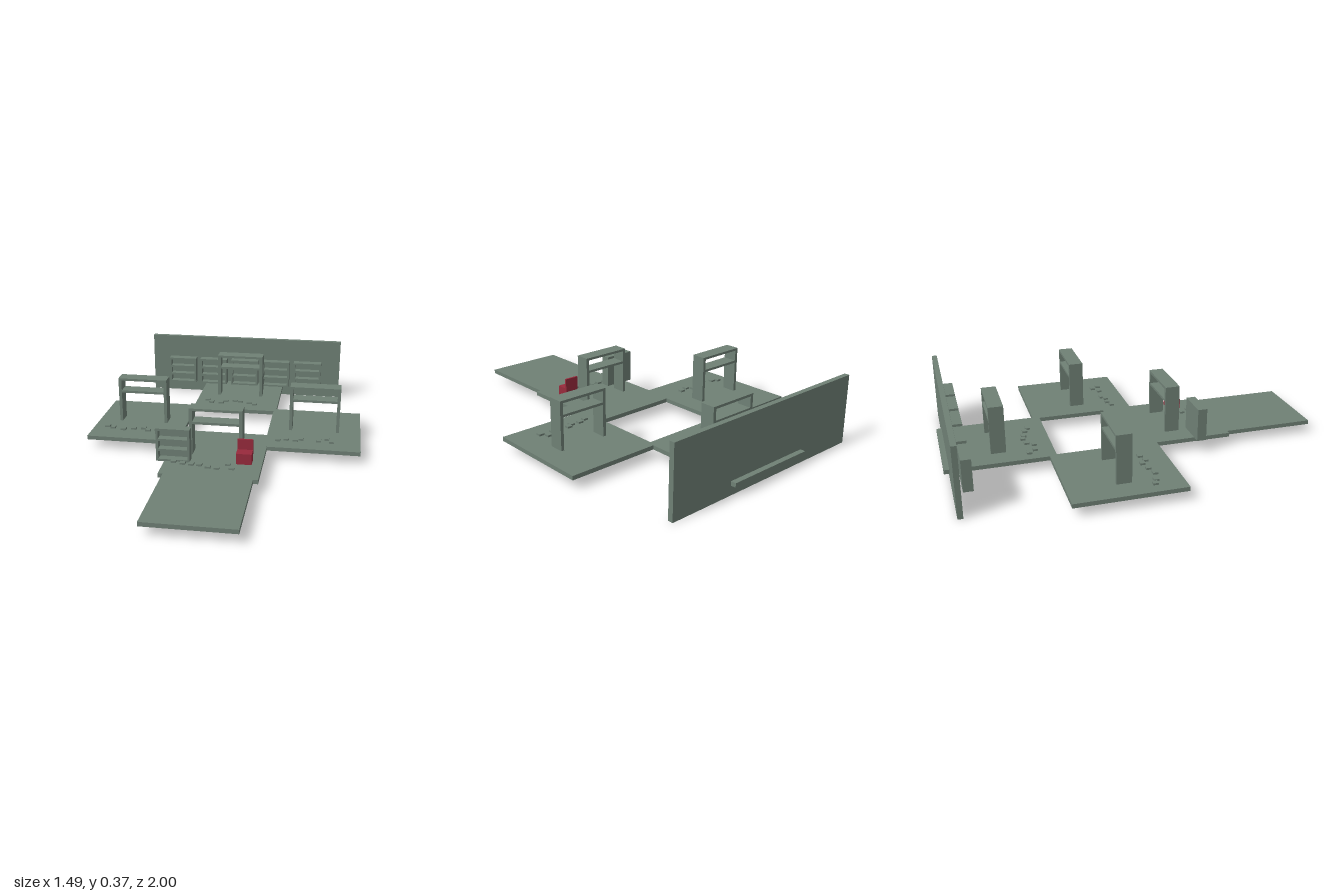
import * as THREE from 'three';

export function createModel() {
  const root = new THREE.Group();
  const sage = new THREE.MeshStandardMaterial({ color: 0x6f8075 });
  sage.name = 'sageGreen';
  const red = new THREE.MeshStandardMaterial({ color: 0x982a3c });
  red.name = 'chairRed';

  // Box given by its lower and upper limits on each axis
  function box(parent, name, [x0, x1], [y0, y1], [z0, z1], material = sage) {
    const mesh = new THREE.Mesh(new THREE.BoxGeometry(x1 - x0, y1 - y0, z1 - z0), material);
    mesh.position.set((x0 + x1) / 2, (y0 + y1) / 2, (z0 + z1) / 2);
    mesh.name = name;
    parent.add(mesh);
  }
  function group(name, x = 0, y = 0, z = 0) {
    const g = new THREE.Group();
    g.name = name;
    g.position.set(x, y, z);
    root.add(g);
    return g;
  }

  // Floor slabs around the open middle, and the entrance strip
  const floorY = [0.05, 0.072];
  const floors = group('floors');
  box(floors, 'backFloor', [-0.25, 0.25], floorY, [-1, -0.433]);
  box(floors, 'frontFloor', [-0.25, 0.25], floorY, [-0.062, 0.51]);
  box(floors, 'rightFloor', [-0.745, -0.235], floorY, [-0.47, 0.1]);
  box(floors, 'leftFloor', [0.235, 0.745], floorY, [-0.47, 0.1]);
  box(floors, 'entranceFloor', [-0.225, 0.225], floorY, [0.51, 1]);

  // Back wall
  box(root, 'backWall', [-0.61, 0.61], [0, 0.368], [-0.972, -0.945]);

  // Open-fronted bookcase with a solid back
  function bookcase(x, y, z, h) {
    const g = group('bookcase', x, y, z);
    const w = 0.0875, d = 0.025, t = 0.012;
    box(g, 'bookcaseBack', [-w, w], [0, h], [-d, -d + 0.008]);
    for (const s of [-1, 1]) {
      const xs = s < 0 ? [-w, -w + t] : [w - t, w];
      box(g, 'bookcaseSide', xs, [0, h], [-d, d]);
    }
    for (let i = 0; i < 4; i++) {
      const base = i * (h - t) / 3;
      box(g, 'bookcaseShelf', [-w + t, w - t], [base, base + t], [-d + 0.008, d]);
    }
  }
  for (let i = -2; i <= 2; i++) bookcase(i * 0.203, 0.07, -0.905, 0.166);
  bookcase(-0.205, 0.07, 0.335, 0.178);

  // Tall stands: two side panels joined by a double top
  function stand(x, z) {
    const g = group('stand', x, 0, z);
    const w = 0.139, d = 0.039, t = 0.017;
    box(g, 'standSide', [-w, -w + t], [0.047, 0.328], [-d, d]);
    box(g, 'standSide', [w - t, w], [0.047, 0.328], [-d, d]);
    box(g, 'standTop', [-w + t, w - t], [0.315, 0.328], [-d, d]);
    box(g, 'standShelf', [-w + t, w - t], [0.243, 0.256], [-d, d]);
  }
  [[0, -0.715], [0, 0.222], [-0.488, -0.19], [0.488, -0.19]].forEach(([x, z]) => stand(x, z));

  // Small flat blocks strewn over the floors
  const rows = {
    backBlock: [[-0.185, -0.565], [-0.155, -0.53], [-0.095, -0.525], [-0.07, -0.56],
      [-0.016, -0.57], [0.02, -0.56], [0.075, -0.545], [0.11, -0.525]],
    rightBlock: [[-0.67, -0.05], [-0.635, -0.035], [-0.57, -0.018], [-0.515, -0.035],
      [-0.46, -0.048], [-0.43, -0.022], [-0.38, -0.037]],
    leftBlock: [[0.3, 0.005], [0.345, -0.01], [0.395, -0.005], [0.425, -0.022],
      [0.52, -0.012], [0.565, -0.042], [0.59, -0.005]],
    frontBlock: [[-0.2, 0.365], [-0.15, 0.38], [-0.105, 0.385], [-0.063, 0.385],
      [-0.016, 0.405], [0.03, 0.412], [0.105, 0.405], [0.08, 0.36]],
  };
  const blocks = group('floorBlocks');
  for (const [name, spots] of Object.entries(rows)) {
    for (const [x, z] of spots) {
      box(blocks, name, [x - 0.014, x + 0.014], [0.07, 0.082], [z - 0.013, z + 0.013]);
    }
  }

  // Chair: solid seat with an upright back
  const chair = group('chair');
  box(chair, 'chairSeat', [0.12, 0.2], [0.081, 0.138], [0.293, 0.363], red);
  box(chair, 'chairBack', [0.12, 0.2], [0.138, 0.193], [0.293, 0.304], red);

  return root;
}
